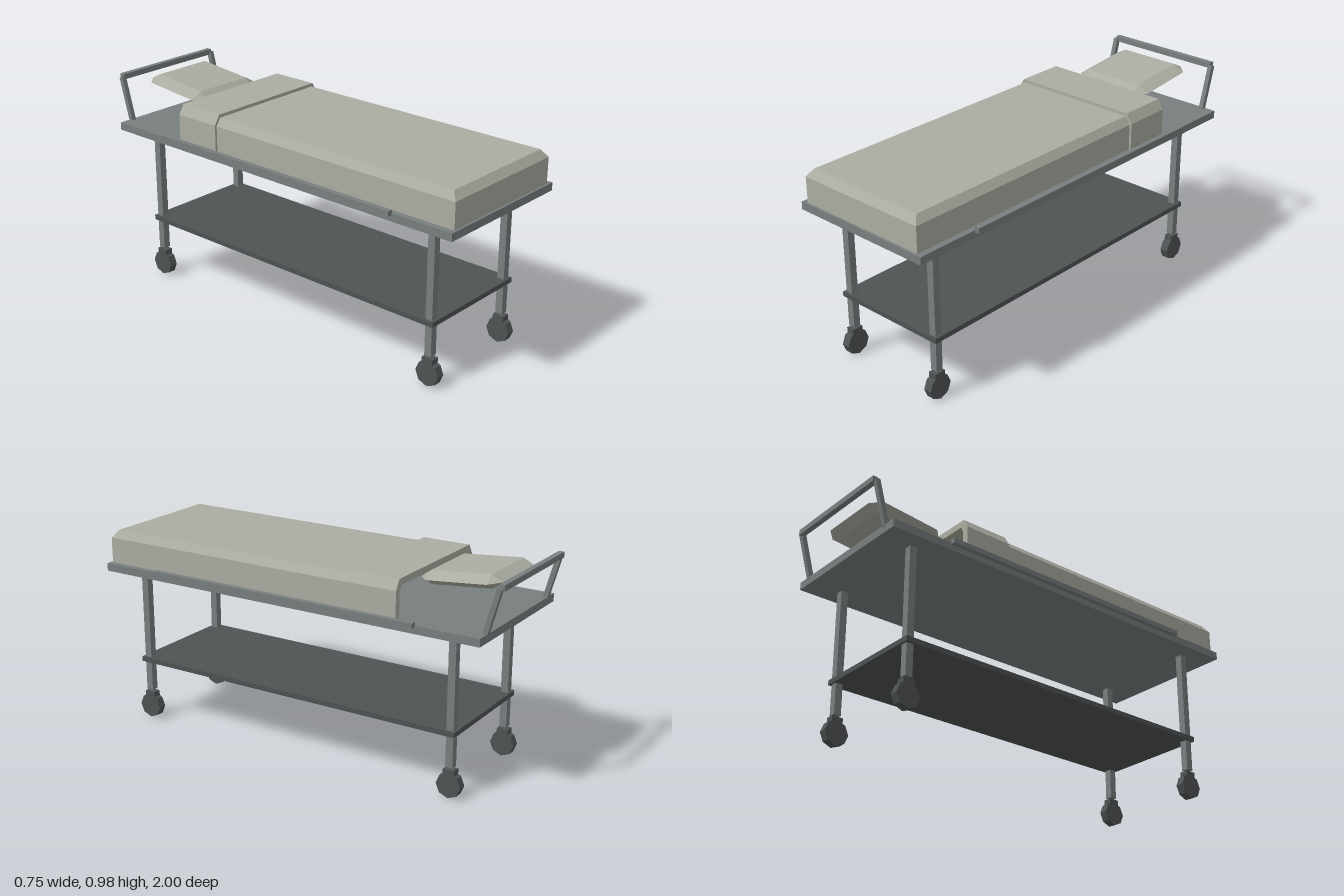
import * as THREE from 'three';
import { ConvexGeometry } from 'three/addons/geometries/ConvexGeometry.js';

export function createModel() {
  const model = new THREE.Group();
  model.name = 'wheeledStretcher';

  const material = (name, color) => {
    const m = new THREE.MeshStandardMaterial({ color });
    m.name = name;
    return m;
  };
  const steel = material('greySteel', 0x787e7f);
  const dark = material('darkSteel', 0x4f5354);
  const linen = material('linen', 0xabaca1);

  const add = (name, geometry, mat, parent = model) => {
    const mesh = new THREE.Mesh(geometry, mat);
    mesh.name = name;
    parent.add(mesh);
    return mesh;
  };
  // Box given by its lower and upper corners
  const box = (name, mat, [x0, y0, z0], [x1, y1, z1], parent) => {
    const mesh = add(name, new THREE.BoxGeometry(x1 - x0, y1 - y0, z1 - z0), mat, parent);
    mesh.position.set((x0 + x1) / 2, (y0 + y1) / 2, (z0 + z1) / 2);
    return mesh;
  };
  const v = (x, y, z) => new THREE.Vector3(x, y, z);

  // Bed platform and lower shelf
  box('platform', steel, [-0.353, 0.73, -0.935], [0.353, 0.766, 1]);
  box('lowerShelf', dark, [-0.285, 0.285, -0.802], [0.285, 0.308, 0.873]);

  // Legs with casters, and side rails
  for (const side of [-1, 1]) {
    const rail = box('sideRail', steel, [-0.0125, 0.757, -0.64], [0.0125, 0.78, 0.702]);
    rail.position.x = side * 0.3615;

    for (const z of [0.845, -0.775]) {
      const leg = new THREE.Group();
      leg.name = 'leg';
      leg.position.set(side * 0.256, 0, z);
      model.add(leg);
      box('legPost', steel, [-0.017, 0.14, -0.017], [0.017, 0.735, 0.017], leg);
      box('casterBracket', dark, [-0.0195, 0.09, -0.027], [0.0195, 0.13, 0.027], leg);

      const wheelShape = new THREE.CylinderGeometry(0.058, 0.058, 0.039, 8).toNonIndexed();
      wheelShape.computeVertexNormals();
      const wheel = add('casterWheel', wheelShape, dark, leg);
      wheel.rotation.z = Math.PI / 2;
      wheel.position.y = 0.058;
    }
  }

  // Leaning push handle at the head end
  for (const side of [-1, 1]) {
    const low = v(side * 0.286, 0.757, -0.925), high = v(side * 0.286, 0.965, -0.982);
    const dir = high.clone().sub(low);
    const post = add('handlePost', new THREE.BoxGeometry(0.022, dir.length(), 0.022), steel);
    post.position.copy(low).add(high).multiplyScalar(0.5);
    post.rotation.x = Math.atan2(dir.z, dir.y);
  }
  box('handleBar', steel, [-0.285, 0.953, -1], [0.285, 0.979, -0.975]);

  // Blanket: box with bevelled top at the sides and foot
  const blanket = [];
  for (const s of [-1, 1]) {
    blanket.push(v(s * 0.325, 0.765, 0.99), v(s * 0.325, 0.885, 0.99), v(s * 0.3, 0.92, 0.963));
    blanket.push(v(s * 0.325, 0.765, -0.315), v(s * 0.325, 0.885, -0.315), v(s * 0.3, 0.92, -0.315));
  }
  add('blanket', new ConvexGeometry(blanket), linen);

  // Turned-down blanket edge: an arch open towards the pillow
  const arch = new THREE.Shape([
    [-0.335, 0.765], [-0.305, 0.765], [-0.305, 0.878], [-0.29, 0.905],
    [0.29, 0.905], [0.305, 0.878], [0.305, 0.765], [0.335, 0.765],
    [0.335, 0.89], [0.308, 0.935], [-0.308, 0.935], [-0.335, 0.89],
  ].map(([x, y]) => new THREE.Vector2(x, y)));
  const fold = add('blanketFold', new THREE.ExtrudeGeometry(arch, { depth: 0.23, bevelEnabled: false }), linen);
  fold.position.z = -0.542;

  // Pillow: octagonal rim with smaller flat faces above and below
  const pillowPoints = [];
  for (const x of [-1, 1]) {
    for (const z of [-1, 1]) {
      pillowPoints.push(v(x * 0.2, 0, z * 0.139), v(x * 0.147, 0, z * 0.186));
      for (const y of [-1, 1]) pillowPoints.push(v(x * 0.147, y * 0.03, z * 0.139));
    }
  }
  const pillow = add('pillow', new ConvexGeometry(pillowPoints), linen);
  pillow.position.set(0, 0.925, -0.74);
  pillow.rotation.x = 0.095;

  return model;
}
